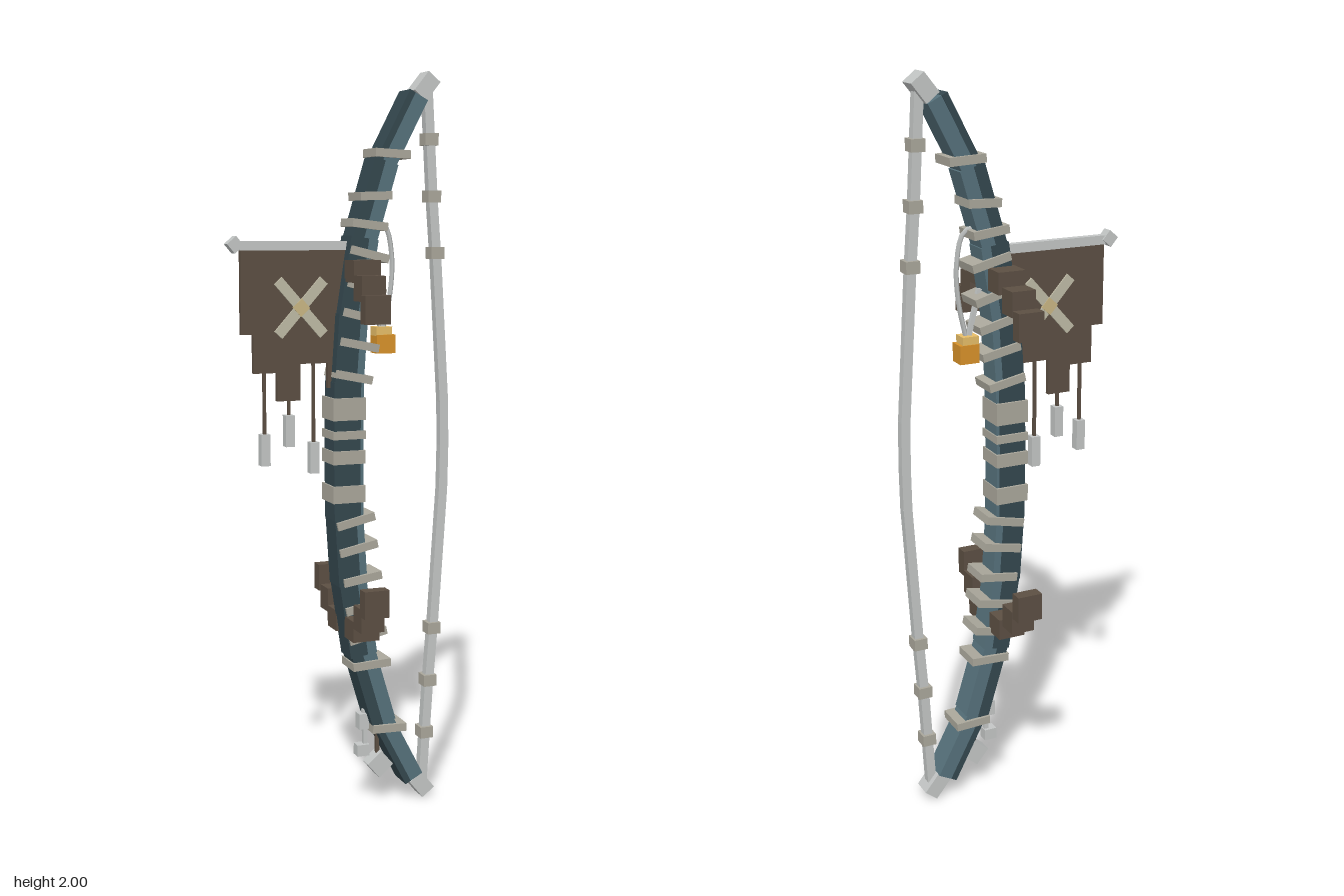
import * as THREE from 'three';

export function createModel() {
  const root = new THREE.Group();
  const mat = (name, color) => {
    const m = new THREE.MeshStandardMaterial({ color });
    m.name = name;
    return m;
  };
  const darkTeal = mat('dark teal', 0x34474e);
  const teal = mat('teal', 0x56717b);
  const bone = mat('bone', 0xc3c6c5);
  const binding = mat('binding', 0xaaa79b);
  const leather = mat('leather', 0x5c4f43);
  const cream = mat('cream', 0xbfbba6);
  const tan = mat('tan', 0xc9b684);
  const amber = mat('amber', 0xd8922a);
  const paleAmber = mat('pale amber', 0xe6bd68);

  const add = (name, geo, m, x, y, z, rot = 0) => {
    const mesh = new THREE.Mesh(geo, m);
    mesh.name = name;
    mesh.position.set(x, y, z);
    mesh.rotation.z = rot;
    root.add(mesh);
    return mesh;
  };
  const box = (name, m, x, y, z, w, h, d, rot = 0) =>
    add(name, new THREE.BoxGeometry(w, h, d), m, x, y, z, rot);
  // Straight bar between two points of the xy plane, shifted sideways by off
  const bar = (name, m, a, b, w, d, off = 0, extra = 0, z = 0) => {
    const dx = b[0] - a[0], dy = b[1] - a[1], len = Math.hypot(dx, dy);
    const nx = dy / len, ny = -dx / len;
    return box(name, m, (a[0] + b[0]) / 2 + nx * off, (a[1] + b[1]) / 2 + ny * off, z,
      w, len + extra, d, Math.atan2(-dx, dy));
  };

  // Limbs: dark backing on the outer side, lighter layer facing the string
  const limb = [[0.01, 1.0], [0.012, 1.18], [0.024, 1.36], [0.055, 1.56], [0.115, 1.76], [0.208, 1.938]];
  for (const s of [1, -1]) {
    const pts = limb.map(([x, y]) => [x, 1 + s * (y - 1)]);
    for (let i = 0; i < pts.length - 1; i++) {
      const w = [0.084, 0.082, 0.078, 0.07, 0.058][i];
      const share = [0.9, 0.75, 0.65, 0.45, 0.3][i];
      const extra = i < 4 ? 0.012 : 0;
      const dark = w * share, light = w - dark;
      bar('limbBacking', darkTeal, pts[i], pts[i + 1], dark, 0.074, -s * light / 2, extra);
      bar('limbBelly', teal, pts[i], pts[i + 1], light, 0.072, s * dark / 2, extra);
    }
    // Horn tip
    box('limbTip', bone, 0.236, 1 + s * 0.962, 0, 0.044, 0.064, 0.056, -s * 0.68);
  }

  // Grip wraps
  for (const [y, h] of [[1.115, 0.06], [1.045, 0.022], [0.985, 0.036], [0.885, 0.046]])
    box('gripWrap', binding, 0.01, y, 0, 0.092, h, 0.088);

  // Tilted bindings: x, y, length, tilt
  const rings = [
    [0.132, 1.785, 0.1, -0.05], [0.085, 1.675, 0.09, 0.03], [0.068, 1.6, 0.1, -0.12],
    [0.068, 1.523, 0.11, -0.24], [0.06, 1.435, 0.11, -0.28], [0.048, 1.36, 0.11, -0.25],
    [0.04, 1.285, 0.11, -0.2], [0.024, 1.2, 0.105, -0.2],
    [0.03, 0.81, 0.11, 0.22], [0.038, 0.735, 0.11, 0.2], [0.05, 0.65, 0.11, 0.15],
    [0.056, 0.572, 0.11, 0.2], [0.066, 0.49, 0.11, 0.22], [0.077, 0.407, 0.11, 0.05],
    [0.13, 0.22, 0.1, -0.03],
  ];
  for (const [x, y, w, r] of rings) box('limbBinding', binding, x, y, 0, w, 0.022, 0.09, r);

  // Bowstring and its beads
  const string = [[0.246, 1.95], [0.262, 1.68], [0.276, 1.5], [0.3, 1.12], [0.302, 1.0],
    [0.3, 0.88], [0.276, 0.5], [0.262, 0.32], [0.246, 0.05]];
  for (let i = 0; i < string.length - 1; i++)
    bar('bowstring', bone, string[i], string[i + 1], 0.025, 0.024, 0, 0.003);
  for (const [x, y] of [[0.254, 1.825], [0.263, 1.675], [0.274, 1.525], [0.274, 0.485], [0.263, 0.335], [0.254, 0.185]])
    box('stringBead', binding, x, y, 0, 0.038, 0.032, 0.04);

  // Stepped side guards, curving toward the grip
  for (const s of [1, -1]) for (const side of [1, -1]) {
    box('guardInner', leather, 0.038, 1 + s * 0.48, side * 0.064, 0.076, 0.058, 0.068);
    box('guardMiddle', leather, 0.033, 1 + s * 0.437, side * 0.126, 0.066, 0.066, 0.058);
    box('guardOuter', leather, 0.03, 1 + s * 0.385, side * 0.174, 0.07, 0.074, 0.036);
  }

  // Banner with a ragged stepped hem
  box('bannerPole', bone, -0.13, 1.546, 0, 0.3, 0.024, 0.02);
  box('poleKnob', bone, -0.293, 1.549, 0, 0.032, 0.032, 0.03, 0.7);
  const hem = [[-0.278, 1.317], [-0.245, 1.317], [-0.245, 1.215], [-0.18, 1.215], [-0.18, 1.14],
    [-0.115, 1.14], [-0.115, 1.237], [-0.038, 1.237], [-0.038, 1.17], [0.015, 1.17], [0.015, 1.536], [-0.278, 1.536]];
  const cloth = new THREE.ExtrudeGeometry(new THREE.Shape(hem.map(p => new THREE.Vector2(...p))),
    { depth: 0.014, bevelEnabled: false });
  add('bannerCloth', cloth, leather, 0, 0, -0.007);
  for (const side of [1, -1]) {
    for (const r of [0.73, -0.73])
      box('bannerCross', cream, -0.114, 1.385, side * (0.009 + (r > 0 ? 0 : 0.001)), 0.028, 0.19, 0.006, r);
    box('crossCentre', tan, -0.114, 1.385, side * 0.012, 0.034, 0.034, 0.005, 0.73);
  }

  // Weights hanging from the hem: x, hem height, weight centre
  for (const [x, top, y] of [[-0.214, 1.22, 1.012], [-0.146, 1.15, 1.06], [-0.077, 1.24, 0.985]]) {
    bar('tasselCord', leather, [x, top], [x, y], 0.008, 0.008);
    box('tasselWeight', bone, x, y, 0, 0.025, 0.084, 0.026);
  }

  // Looped cord with an amber charm
  const loop = new THREE.CatmullRomCurve3([[0.075, 1.61], [0.125, 1.6], [0.147, 1.52], [0.143, 1.42], [0.122, 1.32]]
    .map(([x, y]) => new THREE.Vector3(x, y, 0)));
  add('charmCord', new THREE.TubeGeometry(loop, 16, 0.007, 4), bone, 0, 0, 0);
  bar('charmCordShort', bone, [0.085, 1.45], [0.115, 1.33], 0.012, 0.012);
  box('charmCap', paleAmber, 0.118, 1.318, 0, 0.046, 0.024, 0.042);
  box('amberCharm', amber, 0.123, 1.284, 0, 0.054, 0.05, 0.048);

  // Small trinkets on the lower limb
  bar('trinketCord', bone, [0.07, 0.27], [0.074, 0.16], 0.012, 0.012);
  box('trinketUpper', bone, 0.068, 0.238, 0, 0.034, 0.044, 0.03);
  box('trinketLower', bone, 0.064, 0.155, 0, 0.036, 0.032, 0.03);
  bar('pendantCord', leather, [0.108, 0.22], [0.111, 0.12], 0.01, 0.01);
  box('pendant', bone, 0.113, 0.11, 0, 0.054, 0.054, 0.04, 0.7);

  return root;
}
